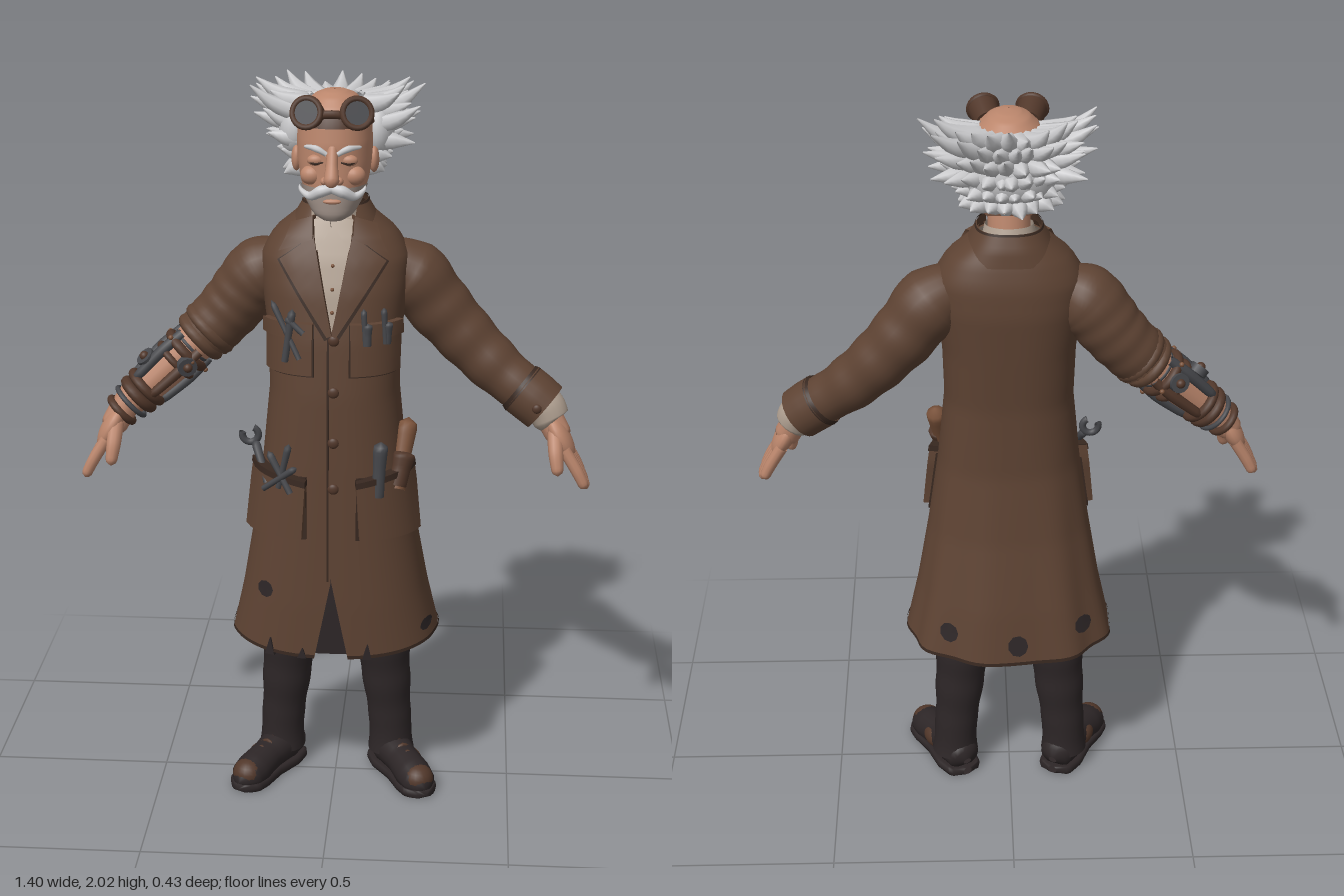
import * as THREE from 'three';
import { mergeVertices } from 'three/addons/utils/BufferGeometryUtils.js';

const paint = (name, color) => {
  const m = new THREE.MeshStandardMaterial({ color, side: THREE.DoubleSide });
  m.name = name;
  return m;
};
const V = (x, y, z) => new THREE.Vector3(x, y, z);
const lerp = THREE.MathUtils.lerp, clamp = THREE.MathUtils.clamp;

// body tables: height, half width, front z, back z
const COAT = [[0.45, 0.288, 0.195, -0.205], [0.6, 0.26, 0.195, -0.185], [0.8, 0.225, 0.19, -0.15], [1.0, 0.196, 0.185, -0.127],
  [1.2, 0.176, 0.178, -0.127], [1.35, 0.18, 0.165, -0.14], [1.48, 0.197, 0.145, -0.15], [1.56, 0.2, 0.122, -0.145],
  [1.62, 0.165, 0.097, -0.13], [1.66, 0.115, 0.078, -0.115], [1.69, 0.08, 0.062, -0.1]];
const HEAD = [[1.672, 0.025, 0.12, 0.06], [1.685, 0.05, 0.13, 0.02], [1.72, 0.072, 0.133, -0.04], [1.77, 0.09, 0.136, -0.08],
  [1.82, 0.098, 0.134, -0.1], [1.87, 0.1, 0.134, -0.11], [1.92, 0.097, 0.128, -0.105], [1.96, 0.08, 0.108, -0.085],
  [1.985, 0.054, 0.083, -0.055], [1.996, 0.03, 0.058, -0.02], [2.0, 0.002, 0.03, 0.026]];

function at(tab, y) {
  let i = 0;
  while (i < tab.length - 2 && y > tab[i + 1][0]) i++;
  const t = clamp((y - tab[i][0]) / (tab[i + 1][0] - tab[i][0]), 0, 1);
  return [1, 2, 3].map(k => lerp(tab[i][k], tab[i + 1][k], t));
}
const pw = (v, p) => Math.sign(v) * Math.abs(v) ** p;
function smooth(g) {
  for (const a of ['uv', 'normal']) g.deleteAttribute(a);
  g = mergeVertices(g, 1e-5);
  g.computeVertexNormals();
  return g;
}

export function createModel() {
  const root = new THREE.Group();
  const coat = paint('coat brown', 0x5e4333), seam = paint('seam dark brown', 0x382820), cloth = paint('trouser charcoal', 0x2d2627),
    skin = paint('skin', 0xbb866c), hair = paint('hair white', 0xcbcbcd), shirt = paint('shirt beige', 0xb0a091),
    metal = paint('metal grey', 0x46474b), leather = paint('leather', 0x51372a), wood = paint('worn tan', 0x7a523a),
    stubble = paint('stubble', 0xa3948b);

  const add = (name, geo, mat, parent = root) => {
    const m = new THREE.Mesh(geo, mat);
    m.name = name;
    parent.add(m);
    return m;
  };
  const ball = (name, mat, p, s, parent) => {
    const m = add(name, new THREE.SphereGeometry(1, 20, 14), mat, parent);
    m.position.set(...p);
    m.scale.set(...s);
    return m;
  };

  // tapering tube through points [x, y, z, radius]
  function limbGeo(pts, { n = 24, k = 12, cap = 0.15, wr = 0 } = {}) {
    const c = new THREE.CatmullRomCurve3(pts.map(p => V(p[0], p[1], p[2])));
    const g = new THREE.TubeGeometry(c, n, 1, k), pos = g.attributes.position, v = V(0, 0, 0);
    for (let i = 0; i <= n; i++) {
      const u = i / n, f = c.getUtoTmapping(u) * (pts.length - 1), q = Math.min(Math.floor(f), pts.length - 2);
      const e = cap ? Math.max(0, (u - 1 + cap) / cap) : 0;
      const r = lerp(pts[q][3], pts[q + 1][3], f - q) * Math.sqrt(Math.max(0, 1 - e * e)) * (1 + wr * Math.sin(u * 38));
      const o = c.getPointAt(u);
      for (let j = 0; j <= k; j++) {
        const id = i * (k + 1) + j;
        v.fromBufferAttribute(pos, id).sub(o).multiplyScalar(r).add(o);
        pos.setXYZ(id, v.x, v.y, v.z);
      }
    }
    return smooth(g);
  }
  const limb = (name, mat, pts, opt, parent) => add(name, limbGeo(pts, opt), mat, parent);

  // rounded shell following a body table; gap(y) opens the front, span limits the angle
  function wrap(name, mat, tab, { y0 = tab[0][0], y1 = tab.at(-1)[0], grow = 0, p = 0.8, gap, span, fold = 0, nv = 40, nu = 72 } = {}) {
    const pos = [], idx = [];
    for (let i = 0; i <= nv; i++) {
      const t = i / nv, y = lerp(y0, y1, tab === HEAD ? Math.sin(t * Math.PI / 2) : t), [hw, zf, zb] = at(tab, y);
      const a0 = span ? -span : gap ? Math.asin(Math.min(1, gap(y) / hw) ** (1 / p)) : 0, a1 = span || Math.PI * 2 - a0;
      for (let j = 0; j <= nu; j++) {
        const a = lerp(a0, a1, j / nu), s = Math.sin(a), c = Math.cos(a), low = clamp((1.1 - y) / 0.65, 0, 1);
        const w = 1 + fold * low * Math.sin(a * 9) * clamp(0.4 - c, 0, 1);
        const lift = fold ? clamp((0.62 - y) / 0.17, 0, 1) * 0.03 * s * s : 0;
        pos.push((hw + grow) * pw(s, p) * w, y + lift, (zf + zb) / 2 + ((zf - zb) / 2 + grow) * pw(c, p) * w);
        if (i < nv && j < nu) {
          const q = i * (nu + 1) + j, r = q + nu + 1;
          idx.push(q, q + 1, r + 1, q, r + 1, r);
        }
      }
    }
    let g = new THREE.BufferGeometry();
    g.setAttribute('position', new THREE.Float32BufferAttribute(pos, 3));
    g.setIndex(idx);
    g = mergeVertices(g, 1e-5);
    g.computeVertexNormals();
    return add(name, g, mat);
  }

  // point on the coat's front (side 1) or back (side -1), pushed outward
  function onCoat(x, y, off, side = 1) {
    const [hw, zf, zb] = at(COAT, y), zr = (zf - zb) / 2, q = Math.min(Math.abs(x) / hw, 0.985);
    const c = Math.sqrt(1 - q ** 2.5), n = V(Math.sign(x) * q ** 1.5 / hw, 0, side * c ** 1.5 / zr).normalize();
    return V(Math.sign(x) * q * hw, y, (zf + zb) / 2 + side * zr * c ** 0.8).addScaledVector(n, off);
  }
  // four-cornered panel laid on the coat: bottom left, bottom right, top right, top left
  function panel(name, mat, [a, b, c, d], thick = 0.008, off = 0.001, n = 10) {
    const g = new THREE.BoxGeometry(1, 1, 1, n, n, 1), pos = g.attributes.position;
    for (let i = 0; i < pos.count; i++) {
      const u = pos.getX(i) + 0.5, v = pos.getY(i) + 0.5, w = pos.getZ(i) + 0.5;
      const m = k => lerp(lerp(a[k], b[k], u), lerp(d[k], c[k], u), v);
      pos.setXYZ(i, ...onCoat(m(0), m(1), w > 0.5 ? off + thick : off - 0.01).toArray());
    }
    g.computeVertexNormals();
    return add(name, g, mat);
  }
  const rect = (x0, y0, x1, y1) => [[x0, y0], [x1, y0], [x1, y1], [x0, y1]];
  const flip = q => [q[1], q[0], q[3], q[2]].map(([x, y]) => [-x, y]);
  function spot(name, mat, x0, y0, r, side = 1) {
    const g = new THREE.CircleGeometry(r, 9), pos = g.attributes.position;
    for (let i = 0; i < pos.count; i++)
      pos.setXYZ(i, ...onCoat(x0 + side * pos.getX(i), y0 + pos.getY(i) * 1.15, 0.006, side).toArray());
    g.computeVertexNormals();
    add(name, g, mat);
  }

  // coat with hem slit and V neck, lining and shirt
  const gap = y => y > 1.38 ? (y - 1.38) * 0.22 : Math.max(0, 0.68 - y) * 0.2;
  wrap('coatBody', coat, COAT, { gap, fold: 0.03, nv: 60 });
  wrap('coatLining', cloth, COAT, { y0: 0.456, y1: 0.95, grow: -0.014, fold: 0.03, nv: 16 });
  wrap('coatHem', seam, COAT, { y0: 0.448, y1: 0.458, grow: 0.003, gap, fold: 0.03, nv: 1 });
  wrap('shirtBody', shirt, COAT, { y0: 1.34, y1: 1.67, grow: -0.012, nv: 18 });
  const COLLAR = [[1.62, 0.135, 0.09, -0.125], [1.66, 0.105, 0.085, -0.118], [1.705, 0.078, 0.062, -0.1]];
  wrap('coatCollar', coat, COLLAR, { gap: y => 0.055, grow: 0.006, nv: 8 });
  wrap('coatCollarEdge', seam, COLLAR, { y0: 1.7, y1: 1.706, gap: y => 0.055, grow: 0.009, nv: 1 });
  limb('shirtCollar', shirt, [[0, 1.62, -0.015, 0.085], [0, 1.66, -0.012, 0.074], [0, 1.7, -0.008, 0.064]], { cap: 0, k: 24 });
  limb('neck', skin, [[0, 1.6, -0.015, 0.065], [0, 1.68, -0.005, 0.056], [0, 1.78, 0.01, 0.055]], { cap: 0, k: 20 });
  panel('frontSeam', seam, rect(-0.012, 0.68, -0.006, 1.38), 0.002);
  const lapel = [[-0.012, 1.37], [0, 1.375], [-0.05, 1.63], [-0.135, 1.565]];
  const lapelEdge = [[-0.018, 1.36], [0, 1.37], [-0.05, 1.63], [-0.144, 1.562]];
  const collarTip = [[-0.135, 1.585], [-0.052, 1.62], [-0.05, 1.675], [-0.1, 1.655]];
  const shirtTip = [[-0.045, 1.585], [-0.006, 1.645], [-0.012, 1.675], [-0.05, 1.665]];
  const chest = rect(-0.168, 1.265, -0.05, 1.395), flap = rect(-0.17, 1.365, -0.048, 1.405);
  const pouch = [[-0.215, 0.81], [-0.075, 0.81], [-0.065, 0.97], [-0.195, 1.0]];
  for (const f of [q => q, flip]) {
    panel('lapelEdge', seam, f(lapelEdge), 0.006);
    panel('lapel', coat, f(lapel), 0.012);
    panel('collarTip', coat, f(collarTip), 0.016);
    panel('shirtCollarTip', shirt, f(shirtTip), 0.006);
    panel('chestPocketEdge', seam, f(rect(-0.172, 1.26, -0.046, 1.4)), 0.004);
    panel('chestPocket', coat, f(chest), 0.011);
    panel('chestPocketFlap', coat, f(flap), 0.018);
    panel('lowerPocketEdge', seam, f(rect(-0.22, 0.803, -0.067, 0.98)), 0.006);
    panel('lowerPocket', coat, f(pouch), 0.026);
    panel('lowerPocketRim', seam, f([[-0.197, 0.985], [-0.065, 0.958], [-0.065, 0.975], [-0.195, 1.002]]), 0.029);
  }
  for (const y of [1.36, 1.22, 1.08, 0.95]) ball('button', leather, onCoat(0.006, y, 0.004).toArray(), [0.015, 0.015, 0.008]);
  for (const y of [1.43, 1.49, 1.55]) ball('shirtButton', wood, onCoat(0, y, -0.01).toArray(), [0.005, 0.005, 0.004]);
  spot('coatHole', cloth, -0.18, 0.64, 0.021);
  spot('coatHole', cloth, 0.255, 0.52, 0.015);
  for (const [x, y, r] of [[-0.2, 0.55, 0.023], [-0.02, 0.51, 0.028], [0.17, 0.54, 0.025]]) spot('coatHole', cloth, x, y, r, -1);
  for (const [x, h] of [[-0.17, 0.05], [0.1, 0.045], [-0.08, 0.03]])
    panel('hemTear', cloth, [[x - 0.014, 0.447], [x + 0.012, 0.447], [x + 0.002, 0.447 + h], [x, 0.447 + h]], 0.004);

  // tools in the pockets
  const tool = (name, mat, x0, y0, x1, y1, r, off = 0.012) => {
    const a = onCoat(x0, y0, off), b = onCoat(x1, y1, off + 0.008);
    limb(name, mat, [[a.x, a.y, a.z, r * 0.8], [(a.x + b.x) / 2, (a.y + b.y) / 2, (a.z + b.z) / 2, r * 0.8], [b.x, b.y, b.z, r]], { n: 12, k: 10 });
    return b;
  };
  const jaw = tool('wrenchHandle', metal, -0.16, 0.95, -0.205, 1.045, 0.013, 0.02);
  const j = add('wrenchJaw', new THREE.TorusGeometry(0.022, 0.01, 8, 16, 4.6), metal);
  j.position.set(jaw.x - 0.012, jaw.y + 0.015, jaw.z);
  j.rotation.z = 2.8;
  tool('pliersHandle', metal, -0.13, 0.95, -0.1, 1.08, 0.011, 0.025);
  tool('pliersHandle', metal, -0.1, 0.94, -0.145, 1.05, 0.011, 0.03);
  tool('pliersHandle', metal, -0.16, 0.94, -0.08, 1.02, 0.01, 0.035);
  tool('chisel', metal, 0.12, 0.93, 0.122, 1.085, 0.022, 0.015);
  tool('brushHandle', wood, 0.165, 0.94, 0.188, 1.12, 0.029, 0.015);
  tool('brushBand', leather, 0.165, 0.95, 0.176, 1.04, 0.033, 0.014);
  tool('scissors', metal, -0.08, 1.31, -0.145, 1.46, 0.009, 0.018);
  tool('scissors', metal, -0.115, 1.3, -0.095, 1.445, 0.012, 0.018);
  tool('scissors', metal, -0.07, 1.38, -0.11, 1.42, 0.01, 0.02);
  for (const x of [0.085, 0.13]) {
    tool('screwdriver', metal, x, 1.35, x - 0.006, 1.45, 0.009, 0.02);
    tool('screwdriverTip', metal, x + 0.004, 1.35, x + 0.004, 1.41, 0.014, 0.018);
  }

  // legs and shoes
  for (const s of [1, -1]) {
    limb('trouserLeg', cloth, [[s * 0.1, 0.78, -0.02, 0.09], [s * 0.13, 0.45, -0.035, 0.08], [s * 0.147, 0.26, -0.042, 0.067],
      [s * 0.157, 0.14, -0.046, 0.06], [s * 0.16, 0.055, -0.046, 0.066]], { cap: 0, k: 20, n: 40, wr: 0.025 });
    const shoe = new THREE.Group();
    shoe.name = 'shoe';
    shoe.position.set(s * 0.155, 0, -0.05);
    shoe.rotation.y = s * 0.49;
    root.add(shoe);
    const last = [[0, 0.045, -0.063, 0.012], [0, 0.05, -0.05, 0.045], [0, 0.058, 0.01, 0.056], [0, 0.05, 0.09, 0.047],
      [0, 0.037, 0.16, 0.052], [0, 0.03, 0.2, 0.048], [0, 0.026, 0.24, 0.03]];
    const upper = limbGeo(last, { n: 30, k: 20 }), sole = limbGeo(last.map(q => [q[0], 0.01, q[2] * 1.02, q[3] * 1.1]), { n: 30, k: 20 });
    for (const [g, lo, hi] of [[upper, 0.018, 1], [sole, 0, 0.022]]) {
      const pos = g.attributes.position;
      for (let i = 0; i < pos.count; i++) pos.setY(i, clamp(pos.getY(i), lo, hi));
      g.computeVertexNormals();
    }
    add('shoeUpper', upper, cloth, shoe);
    add('shoeSole', sole, cloth, shoe);
    ball('toePatch', leather, [0, 0.04, 0.188], [0.045, 0.042, 0.046], shoe);
    ball('sidePatch', leather, [s * 0.028, 0.05, 0.09], [0.026, 0.03, 0.045], shoe);
    for (const z of [0.06, 0.09, 0.12]) limb('shoeLace', leather, [[-0.03, 0.085 - (z - 0.06) * 0.25, z, 0.005], [0, 0.105 - (z - 0.06) * 0.25, z, 0.006],
      [0.03, 0.085 - (z - 0.06) * 0.25, z, 0.005]], { n: 8, k: 6 }, shoe);

    // hand
    const palm = ball('palm', skin, [s * 0.617, 1.06, 0.042], [0.028, 0.068, 0.05]);
    palm.rotation.z = s * 0.5;
    limb('wrist', skin, [[s * 0.55, 1.16, 0.012, 0.04], [s * 0.585, 1.11, 0.025, 0.038], [s * 0.62, 1.05, 0.04, 0.036]], { n: 12 });
    [0, 1, 2, 3].forEach(i => {
      const z = 0.004 + i * 0.026, l = [0.85, 1, 1.05, 0.95][i];
      limb('finger', skin, [[s * 0.625, 1.04, z, 0.017], [s * (0.63 + 0.035 * l), 1.03 - 0.055 * l, z * 1.1, 0.0165],
        [s * (0.63 + 0.06 * l), 1.03 - 0.105 * l, z * 1.12, 0.014]], { n: 16, k: 10 });
    });
    limb('thumb', skin, [[s * 0.6, 1.08, 0.06, 0.022], [s * 0.603, 1.03, 0.098, 0.02], [s * 0.61, 0.975, 0.118, 0.015]], { n: 16, k: 10 });
  }

  // sleeves: full on the left, rolled up on the right
  const arm = [[0.12, 1.535, -0.02, 0.06], [0.2, 1.495, -0.035, 0.096], [0.28, 1.4, -0.042, 0.088], [0.36, 1.312, -0.036, 0.08],
    [0.44, 1.237, -0.018, 0.073], [0.5, 1.192, 0, 0.066], [0.565, 1.145, 0.015, 0.064]];
  limb('leftSleeve', coat, arm, { n: 60, k: 22, cap: 0, wr: 0.022 });
  limb('leftCuff', coat, [[0.508, 1.186, 0.002, 0.074], [0.54, 1.163, 0.01, 0.074], [0.572, 1.138, 0.017, 0.072]], { n: 8, k: 22, cap: 0 });
  limb('cuffEdge', seam, [[0.5, 1.192, 0, 0.07], [0.512, 1.183, 0.003, 0.075]], { n: 2, k: 22, cap: 0 });
  ball('cuffButton', leather, [0.548, 1.155, 0.085], [0.013, 0.013, 0.008]);
  limb('shirtCuff', shirt, [[0.545, 1.16, 0.01, 0.058], [0.575, 1.135, 0.018, 0.056], [0.592, 1.105, 0.024, 0.05], [0.597, 1.1, 0.025, 0.02]], { n: 16, k: 20, cap: 0 });
  limb('rightSleeve', coat, arm.slice(0, 4).map(q => [-q[0], q[1], q[2], q[3]]), { n: 36, k: 22, cap: 0, wr: 0.015 });

  // mechanical bracer along the right forearm (local y runs to the wrist)
  const brace = new THREE.Group(), from = V(-0.34, 1.335, -0.036), to = V(-0.6, 1.095, 0.022);
  brace.name = 'bracer';
  brace.position.copy(from);
  brace.quaternion.setFromUnitVectors(V(0, 1, 0), to.clone().sub(from).normalize());
  root.add(brace);
  limb('forearm', skin, [[0, 0, 0, 0.06], [0, 0.12, 0, 0.056], [0, 0.24, 0, 0.048], [0, 0.35, 0, 0.038]], { k: 18 }, brace);
  const ring = (name, mat, y, r, t) => {
    const m = add(name, new THREE.TorusGeometry(r, t, 10, 26), mat, brace);
    m.position.y = y;
    m.rotation.x = Math.PI / 2;
  };
  for (const [y, r, t] of [[0.01, 0.066, 0.02], [0.045, 0.062, 0.018]]) ring('sleeveRoll', coat, y, r, t);
  for (const [y, r, t] of [[0.1, 0.06, 0.014], [0.14, 0.058, 0.01], [0.25, 0.052, 0.014], [0.28, 0.048, 0.016], [0.345, 0.042, 0.011]]) ring('leatherStrap', leather, y, r, t);
  for (const y of [0.08, 0.31]) ring('metalBand', metal, y, 0.052, 0.007);
  for (let i = 0; i < 5; i++) {
    const a = i * Math.PI * 0.4 + 0.3, c = Math.cos(a), s = Math.sin(a);
    limb('bracerPlate', i % 2 ? leather : metal, [[c * 0.058, 0.07, s * 0.058, 0.014], [c * 0.062, 0.14, s * 0.062, 0.016], [c * 0.054, 0.26, s * 0.054, 0.013]], { n: 12, k: 8 }, brace);
    ball('rivet', wood, [c * 0.076, 0.1, s * 0.076], [0.007, 0.007, 0.007], brace);
  }
  for (const [x, y, z] of [[0, 0.12, 0.07], [0, 0.12, -0.07], [0.065, 0.19, 0]]) {
    const gear = add('gear', new THREE.CylinderGeometry(0.027, 0.027, 0.022, 14), metal, brace);
    gear.position.set(x, y, z);
    gear.rotation.set(x ? 0 : Math.PI / 2, 0, x ? Math.PI / 2 : 0);
    ball('gearHub', leather, [x * 1.16, y, z * 1.16], [0.013, 0.013, 0.013], brace);
  }

  // head and face
  wrap('head', skin, HEAD, { p: 0.92, nv: 48, nu: 48 });
  wrap('stubbleBeard', stubble, HEAD, { p: 0.92, y0: 1.672, y1: 1.762, grow: 0.004, span: 1.35, nv: 14, nu: 30 });
  limb('nose', skin, [[0, 1.865, 0.122, 0.014], [0, 1.82, 0.146, 0.016], [0, 1.785, 0.162, 0.021], [0, 1.772, 0.158, 0.016]], { n: 20 });
  ball('lowerLip', skin, [0, 1.727, 0.137], [0.024, 0.007, 0.008]);
  for (const s of [1, -1]) {
    ball('nostril', skin, [s * 0.018, 1.782, 0.143], [0.012, 0.011, 0.014]);
    ball('cheek', skin, [s * 0.055, 1.79, 0.105], [0.03, 0.026, 0.026]);
    ball('eyelid', skin, [s * 0.043, 1.832, 0.12], [0.023, 0.015, 0.014]);
    limb('eyeLine', seam, [[s * 0.023, 1.829, 0.134, 0.002], [s * 0.043, 1.825, 0.135, 0.003], [s * 0.063, 1.829, 0.124, 0.002]], { n: 8, k: 6 });
    limb('eyebrow', hair, [[s * 0.014, 1.85, 0.136, 0.006], [s * 0.04, 1.864, 0.134, 0.009], [s * 0.076, 1.865, 0.106, 0.004]], { n: 12, k: 8 });
    limb('moustache', hair, [[0, 1.764, 0.15, 0.012], [s * 0.028, 1.757, 0.152, 0.016], [s * 0.058, 1.742, 0.138, 0.011], [s * 0.082, 1.757, 0.127, 0.006], [s * 0.086, 1.77, 0.126, 0.003]], { n: 20, k: 10 });
    ball('ear', skin, [s * 0.102, 1.815, 0.01], [0.014, 0.036, 0.024]);

    // goggles pushed up on the forehead
    const eye = new THREE.Group();
    eye.name = 'goggle';
    eye.position.set(s * 0.058, 1.95, 0.115);
    eye.rotation.set(-0.3, s * 0.2, 0);
    root.add(eye);
    const cup = add('goggleCup', new THREE.CylinderGeometry(0.041, 0.034, 0.07, 20), leather, eye);
    cup.rotation.x = Math.PI / 2;
    add('goggleRim', new THREE.TorusGeometry(0.037, 0.008, 8, 24), leather, eye).position.z = 0.034;
    add('goggleLens', new THREE.CircleGeometry(0.034, 20), metal, eye).position.z = 0.037;
    ball('sideHair', hair, [s * 0.108, 1.885, -0.035], [0.045, 0.075, 0.06]);
  }
  limb('goggleBridge', leather, [[-0.03, 1.95, 0.128, 0.011], [0, 1.953, 0.133, 0.011], [0.03, 1.95, 0.128, 0.011]], { n: 8, k: 8 });
  wrap('goggleStrap', leather, HEAD, { p: 0.92, y0: 1.915, y1: 1.945, grow: 0.006, nv: 4, nu: 48 });

  // wild hair: a soft mass round the back with rows of curved spikes
  ball('backHair', hair, [0, 1.865, -0.075], [0.125, 0.095, 0.085]);
  let seed = 7;
  const rnd = () => (seed = (seed * 16807) % 2147483647) / 2147483647 - 0.5;
  const rows = [[1.79, -0.25, 0.05, 12], [1.825, -0.05, 0.065, 14], [1.86, 0.1, 0.075, 15], [1.895, 0.25, 0.085, 15], [1.925, 0.4, 0.09, 15], [1.95, 0.55, 0.075, 13]];
  rows.forEach(([y, tilt, len, n], row) => {
    for (let i = 0; i < n; i++) {
      const f = (lerp(-1, 1, (i + (row % 2) * 0.4) / (n - 0.6)) * 1.9) + rnd() * 0.1, sx = Math.sin(f), cz = -Math.cos(f);
      const l = len * (1 + 0.5 * sx * sx * (row > 1 ? 1 : 0.1)) * (1 + rnd() * 0.4), up = tilt + rnd() * 0.3;
      const pt = (d, h, r) => [sx * (0.085 + d), y + h, -0.035 + cz * (0.075 + d * 0.9) - d * 0.12, r];
      limb('hairSpike', hair, [pt(0, 0, 0.03), pt(l * 0.55, l * up * 0.35, 0.022), pt(l, l * up, 0.002)], { n: 7, k: 7, cap: 0 });
    }
  });
  return root;
}
